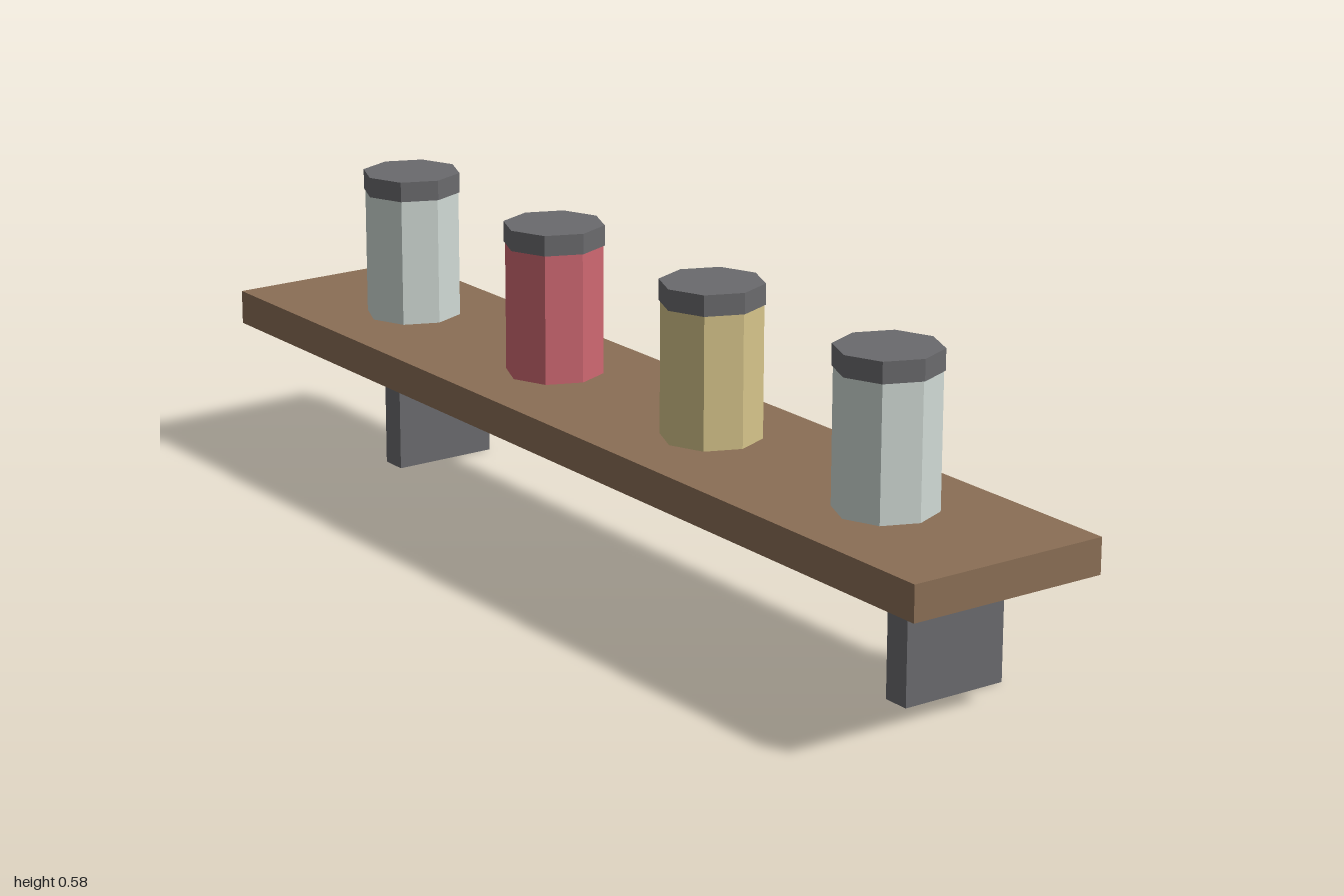
import * as THREE from 'three';

const mat = (name, color) => {
  const m = new THREE.MeshStandardMaterial({ color, flatShading: true });
  m.name = name;
  return m;
};

export function createModel() {
  const wood = mat('wood', 0x8a6e55);
  const metal = mat('dark metal', 0x6a6a6d);
  const glass = mat('pale glass', 0xd0dad5);
  const red = mat('red preserve', 0xcf6872);
  const yellow = mat('yellow preserve', 0xd6c48a);

  const group = new THREE.Group();
  group.name = 'shelfWithJars';
  const add = (name, geometry, material, x, y, z, parent = group) => {
    const mesh = new THREE.Mesh(geometry, material);
    mesh.name = name;
    mesh.position.set(x, y, z);
    parent.add(mesh);
  };

  // Shelf board
  add('board', new THREE.BoxGeometry(2, 0.0625, 0.375), wood, 0, 0.28125, 0);

  // Brackets, flush with the back edge
  const bracket = new THREE.BoxGeometry(0.05, 0.25, 0.2);
  add('leftBracket', bracket, metal, 0.75, 0.125, -0.0875);
  add('rightBracket', bracket, metal, -0.75, 0.125, -0.0875);

  // Row of eight-sided jars with slightly wider lids
  const body = new THREE.CylinderGeometry(0.0875, 0.0875, 0.2325, 8);
  const lid = new THREE.CylinderGeometry(0.09, 0.09, 0.0365, 8);
  [glass, red, yellow, glass].forEach((fill, i) => {
    const jar = new THREE.Group();
    jar.name = `jar${i + 1}`;
    jar.position.set(-0.69 + i * 0.463, 0.3125, 0);
    add('jarBody', body, fill, 0, 0.11625, 0, jar);
    add('jarLid', lid, metal, 0, 0.25075, 0, jar);
    group.add(jar);
  });

  return group;
}
